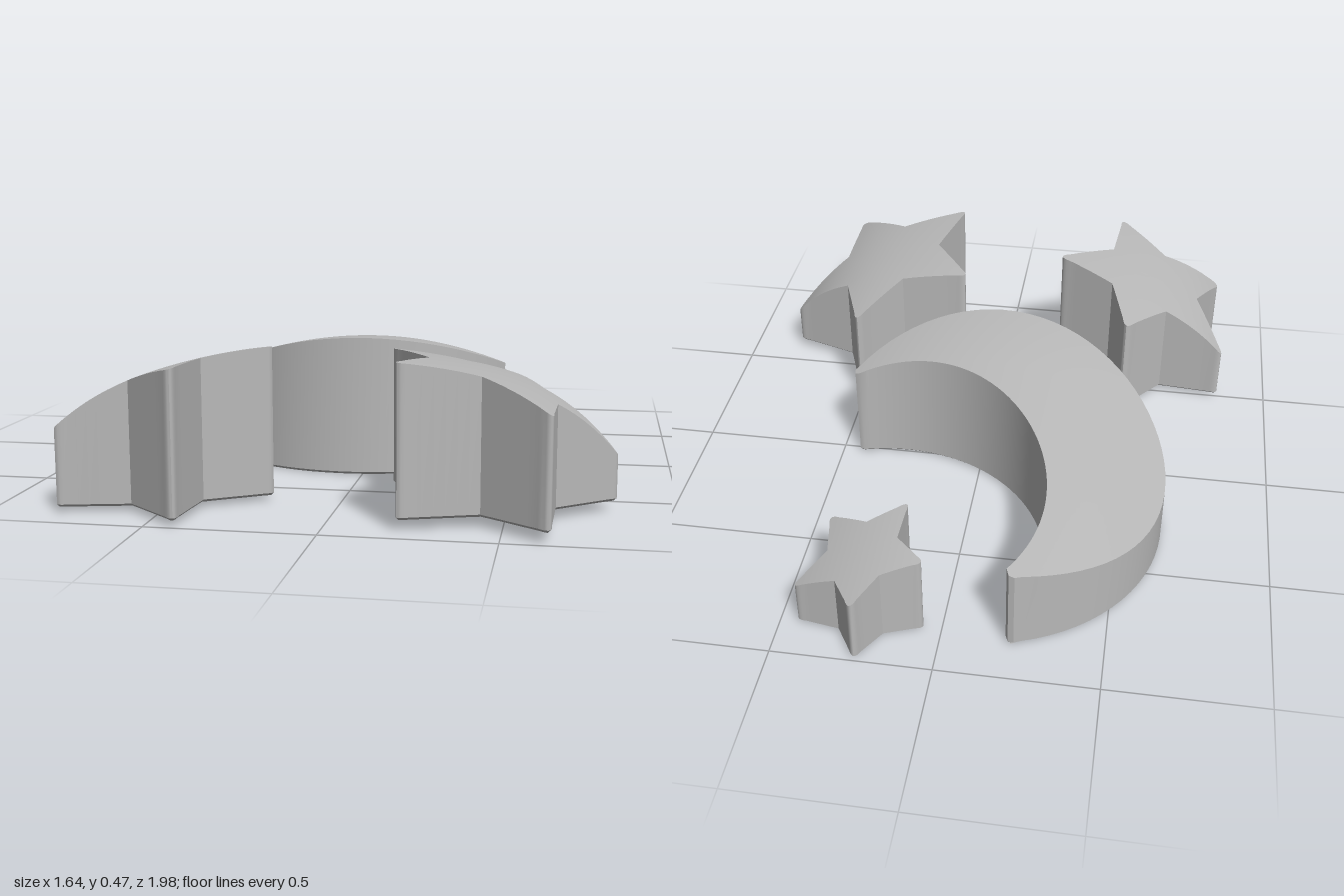
import * as THREE from 'three';
import { toCreasedNormals } from 'three/addons/utils/BufferGeometryUtils.js';

const V = (x, z) => new THREE.Vector2(x, z);

// Solid with a flat base, upright walls and a curved top given by height(x, z).
// spine[i] is the inner point towards which outline[i] is filled.
function solid(outline, spine, base, height) {
  if (THREE.ShapeUtils.area(outline) > 0) {
    outline = [...outline].reverse();
    spine = [...spine].reverse();
  }
  const n = outline.length, bevel = 0.008, steps = 8;
  const inset = outline.map((p, i) => {
    const t = outline[(i + 1) % n].clone().sub(outline[(i + n - 1) % n]).normalize();
    return V(p.x + t.y * bevel, p.y - t.x * bevel);
  });
  const at = (points, y) => points.map(p => new THREE.Vector3(p.x, y, p.y));
  const rings = [at(spine, base), at(inset, base), at(outline, base + bevel)];
  for (let k = 0; k <= steps; k++) {
    rings.push(outline.map((p, i) => {
      const q = p.clone().lerp(spine[i], k / steps);
      return new THREE.Vector3(q.x, height(q.x, q.y), q.y);
    }));
  }
  const pos = [];
  const tri = (a, b, c) => {
    const area = b.clone().sub(a).cross(c.clone().sub(a)).length();
    if (area > 1e-9) for (const p of [a, b, c]) pos.push(p.x, p.y, p.z);
  };
  for (let r = 0; r < rings.length - 1; r++) {
    for (let i = 0; i < n; i++) {
      const j = (i + 1) % n;
      tri(rings[r][i], rings[r][j], rings[r + 1][j]);
      tri(rings[r][i], rings[r + 1][j], rings[r + 1][i]);
    }
  }
  const g = new THREE.BufferGeometry();
  g.setAttribute('position', new THREE.Float32BufferAttribute(pos, 3));
  return toCreasedNormals(g, 0.6);
}

// Five-pointed star: corners alternate tip, notch; the tips are rounded
function star(corners, round, base, height) {
  const pts = corners.map(c => V(...c));
  const center = pts.reduce((s, p) => s.add(p), V(0, 0)).divideScalar(pts.length);
  const outline = [];
  const edge = (a, b) => {
    for (let k = 0; k < 6; k++) outline.push(a.clone().lerp(b, k / 6));
  };
  for (let i = 0; i < pts.length; i += 2) {
    const prev = pts[(i + 9) % 10], next = pts[i + 1], after = pts[(i + 2) % 10];
    const towards = (a, b) => a.clone().add(b.clone().sub(a).setLength(round));
    const sharp = pts[i].clone().add(pts[i].clone().sub(center).setLength(round * 0.4));
    const start = towards(pts[i], prev), end = towards(pts[i], next);
    const curve = new THREE.QuadraticBezierCurve(start, sharp, end);
    outline.push(...curve.getPoints(8).slice(0, -1));
    edge(end, next);
    edge(next, towards(after, next));
  }
  return solid(outline, outline.map(() => center), base, height);
}

// Crescent between two circular arcs, with blunt horns
function crescent(base, height) {
  const arc = (cx, cz, r, from, to) => {
    const list = [];
    for (let k = 0; k <= 48; k++) {
      const a = from + (to - from) * k / 48;
      list.push(V(cx + r * Math.cos(a), cz + r * Math.sin(a)));
    }
    return list;
  };
  const ang = (cx, cz, x, z) => Math.atan2(z - cz, x - cx);
  const turn = 2 * Math.PI;
  const outer = arc(-0.06, -0.3, 0.585, ang(-0.06, -0.3, -0.245, -0.855) + turn, ang(-0.06, -0.3, 0.435, 0.015));
  const inner = arc(0.27, -0.55, 0.55, ang(0.27, -0.55, 0.425, -0.02), ang(0.27, -0.55, -0.2, -0.84) + turn);
  const outline = [
    V(-0.225, -0.865), ...outer, V(0.444, 0),
    V(0.44, -0.017), ...inner, V(-0.207, -0.862),
  ];
  const n = outline.length;
  const spine = outline.map((p, i) => p.clone().lerp(outline[n - 1 - i], 0.5));
  return solid(outline, spine, base, height);
}

export function createModel() {
  const group = new THREE.Group();
  const grey = new THREE.MeshStandardMaterial({ color: 0xb8b8b8 });
  grey.name = 'grey';
  const add = (name, geometry) => {
    const mesh = new THREE.Mesh(geometry, grey);
    mesh.name = name;
    group.add(mesh);
  };

  // Moon, sloping down to the back and sides
  add('crescentMoon', crescent(0.004, (x, z) =>
    0.428 + 0.14 * z - 0.43 * x * x - 0.15 * Math.max(0, z) ** 2));

  // Large stars at the front, their tops rolling off outwards
  const dome = (peak, roll) => (x, z) =>
    peak - 0.27 * x * x - roll * x ** 6 - 0.12 * (1 - z) ** 2;
  add('rightStar', star([
    [-0.465, 0.34], [-0.4, 0.555], [-0.195, 0.65], [-0.39, 0.77], [-0.41, 0.998],
    [-0.585, 0.85], [-0.805, 0.9], [-0.717, 0.688], [-0.83, 0.49], [-0.605, 0.51],
  ], 0.045, 0.02, dome(0.5, 0.28)));
  add('leftStar', star([
    [0.51, 0.295], [0.595, 0.525], [0.827, 0.6], [0.643, 0.745], [0.637, 0.998],
    [0.437, 0.857], [0.203, 0.935], [0.272, 0.693], [0.13, 0.495], [0.373, 0.492],
  ], 0.045, 0.035, dome(0.49, 0.4)));

  // Small star at the back
  add('smallStar', star([
    [0.24, -1.0], [0.31, -0.89], [0.45, -0.868], [0.363, -0.762], [0.388, -0.62],
    [0.257, -0.677], [0.135, -0.615], [0.145, -0.751], [0.048, -0.843], [0.172, -0.89],
  ], 0.035, 0.008, (x, z) => 0.325 - 0.65 * x * x + 0.15 * (z + 0.6)));

  return group;
}
